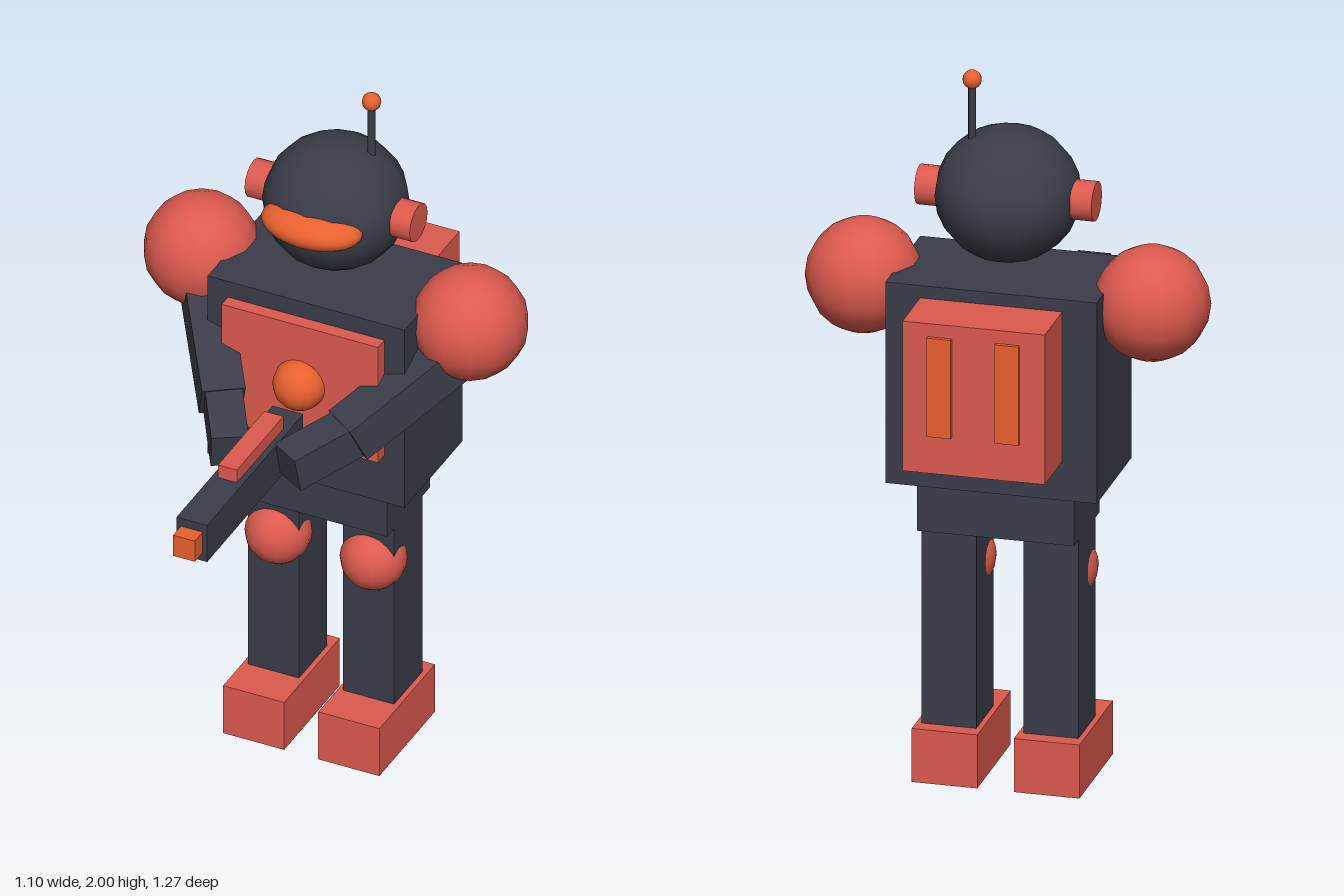
import * as THREE from 'three';

const material = (color) => new THREE.MeshStandardMaterial({ color });

export function createModel() {
  const robot = new THREE.Group();
  robot.name = 'robot';
  const dark = material(0x3a3d48);
  const red = material(0xdc5a4e);
  const orange = material(0xe8602f);

  const add = (name, geometry, mat, x, y, z) => {
    const mesh = new THREE.Mesh(geometry, mat);
    mesh.name = name;
    mesh.position.set(x, y, z);
    robot.add(mesh);
    return mesh;
  };
  // box given by its limits on each axis
  const box = (name, mat, [x0, x1], [y0, y1], [z0, z1]) =>
    add(name, new THREE.BoxGeometry(x1 - x0, y1 - y0, z1 - z0), mat,
      (x0 + x1) / 2, (y0 + y1) / 2, (z0 + z1) / 2);
  const ball = (name, mat, r, x, y, z, w = 16, h = 12) =>
    add(name, new THREE.SphereGeometry(r, w, h), mat, x, y, z);
  // square bar running between two points
  const limb = (name, from, to, width, height) => {
    const a = new THREE.Vector3(...from);
    const b = new THREE.Vector3(...to);
    const mid = a.clone().add(b).multiplyScalar(0.5);
    const mesh = add(name, new THREE.BoxGeometry(width, height, a.distanceTo(b)), dark, mid.x, mid.y, mid.z);
    mesh.lookAt(b);
  };

  // body
  box('torso', dark, [-0.29, 0.29], [0.86, 1.43], [-0.45, -0.1]);
  box('pelvis', dark, [-0.215, 0.215], [0.715, 0.86], [-0.405, -0.148]);
  box('chestPlate', red, [-0.23, 0.23], [1.01, 1.38], [-0.12, -0.062]);
  ball('chestLight', orange, 0.073, 0, 1.195, -0.062);
  box('backpack', red, [-0.195, 0.195], [0.97, 1.395], [-0.625, -0.45]);

  // head
  ball('head', dark, 0.196, 0, 1.65, -0.28).scale.y = 0.945;
  ball('visor', orange, 1, 0, 1.66, -0.137, 24, 16).scale.set(0.145, 0.055, 0.09);
  add('antenna', new THREE.CylinderGeometry(0.011, 0.011, 0.18, 8), dark, 0.09, 1.885, -0.31);
  ball('antennaTip', orange, 0.026, 0.09, 1.974, -0.31, 12, 8);

  // paired parts
  for (const [side, s] of [['left', 1], ['right', -1]]) {
    const pair = (a, b) => (s > 0 ? [a, b] : [-b, -a]);

    const ear = add(side + 'Ear', new THREE.CylinderGeometry(0.054, 0.054, 0.08, 16), red, s * 0.203, 1.65, -0.28);
    ear.rotation.z = Math.PI / 2;
    ball(side + 'Shoulder', red, 0.157, s * 0.395, 1.378, -0.28, 14, 10).rotation.y = Math.PI / 2;
    limb(side + 'UpperArm', [s * 0.4, 1.33, -0.28], [s * 0.185, 1.14, 0.027], 0.117, 0.117);
    limb(side + 'Forearm', [s * 0.187, 1.143, 0.02], [s * 0.085, 1.106, 0.187], 0.1, 0.103);

    box(side + 'Leg', dark, pair(0.065, 0.215), [0.15, 0.72], [-0.36, -0.19]);
    ball(side + 'Knee', red, 0.09, s * 0.14, 0.585, -0.22);
    box(side + 'Foot', red, pair(0.05, 0.23), [0, 0.152], [-0.405, -0.07]);
    box(side + 'Vent', orange, pair(0.06, 0.126), [1.078, 1.358], [-0.637, -0.61]);
  }

  // blaster held in both hands
  box('blasterBody', dark, [-0.045, 0.045], [1.038, 1.155], [0.01, 0.59]);
  box('blasterRail', red, [-0.028, 0.028], [1.15, 1.195], [0.095, 0.375]);
  box('blasterMuzzle', orange, [-0.032, 0.032], [1.064, 1.13], [0.58, 0.637]);

  return robot;
}
